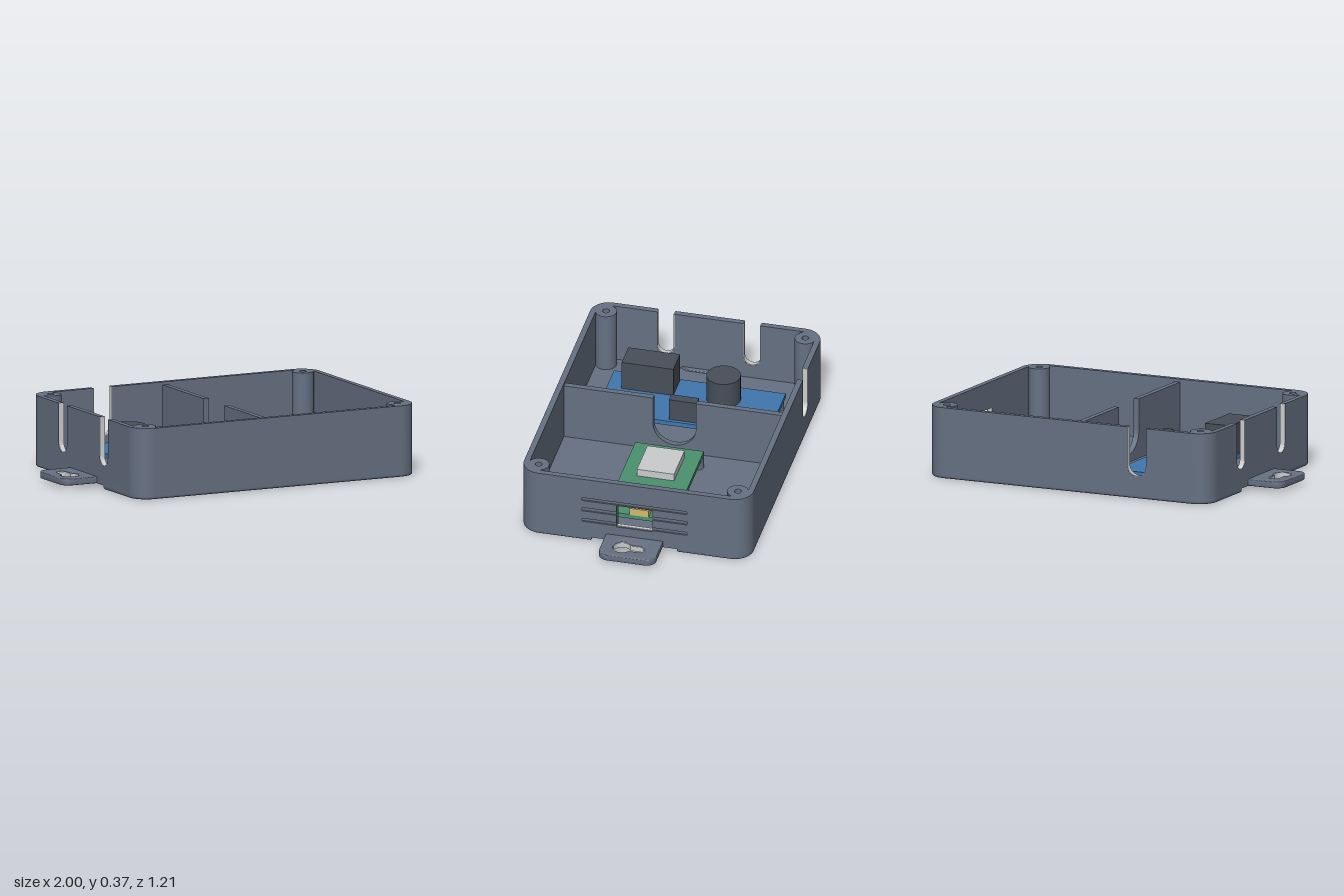
import * as THREE from 'three';
import { toCreasedNormals } from 'three/addons/utils/BufferGeometryUtils.js';

const mat = (name, color) => Object.assign(new THREE.MeshStandardMaterial({ color }), { name });

const X = 0.81, Z = 0.605, TOP = 0.37, WALL = 0.03, R = 0.1;
const FLOOR = 0.045, BASE = 0.02, LINER = 0.003;

export function createModel() {
  const body = mat('slateBody', 0x667182);
  const cut = mat('lightGrey', 0xcbcccd);
  const dark = mat('darkComponent', 0x484f59);
  const blue = mat('blueBoard', 0x4076ae);
  const green = mat('greenBoard', 0x4b9170);
  const gold = mat('goldMetal', 0xd2bb6c);
  const model = new THREE.Group();
  model.name = 'electronicsEnclosure';

  const add = (name, geo, material, x = 0, y = 0, z = 0) => {
    const m = new THREE.Mesh(geo, material);
    m.name = name;
    m.position.set(x, y, z);
    model.add(m);
    return m;
  };
  const extrude = (shape, depth, bevel = 0) => {
    const g = new THREE.ExtrudeGeometry(shape, {
      depth: depth - 2 * bevel, curveSegments: 20, bevelEnabled: bevel > 0,
      bevelSize: bevel, bevelThickness: bevel, bevelOffset: -bevel, bevelSegments: 3,
    });
    g.translate(0, 0, bevel);
    return toCreasedNormals(g, 0.6);
  };
  // plan shape (x, z) raised between two heights
  const slab = (name, shape, y0, y1, material, bevel = 0) =>
    add(name, extrude(shape, y1 - y0, bevel).rotateX(Math.PI / 2), material, 0, y1, 0);
  // panel drawn as (z, y), running from x towards -x
  const sidePanel = (name, shape, x, depth, material) =>
    add(name, extrude(shape, depth).rotateY(-Math.PI / 2), material, x, 0, 0);
  const box = (name, x0, x1, y0, y1, z0, z1, material) =>
    add(name, new THREE.BoxGeometry(x1 - x0, y1 - y0, z1 - z0), material,
      (x0 + x1) / 2, (y0 + y1) / 2, (z0 + z1) / 2);
  const cylinder = (name, x, z, r, y0, y1, material) =>
    add(name, new THREE.CylinderGeometry(r, r, y1 - y0, 32), material, x, (y0 + y1) / 2, z);

  const poly = (pts, Type = THREE.Shape) => new Type(pts.map(([a, b]) => new THREE.Vector2(a, b)));
  const rect = (a0, a1, b0, b1, Type) => poly([[a0, b0], [a1, b0], [a1, b1], [a0, b1]], Type);
  const roundRect = (a0, a1, b0, b1, r) => {
    const s = new THREE.Shape(), q = Math.PI / 2;
    s.absarc(a1 - r, b0 + r, r, -q, 0);
    s.absarc(a1 - r, b1 - r, r, 0, q);
    s.absarc(a0 + r, b1 - r, r, q, 2 * q);
    s.absarc(a0 + r, b0 + r, r, 2 * q, 3 * q);
    return s;
  };
  // wall outline with U notches open at the top, listed from high to low position
  const wallShape = (half, top, notches = []) => {
    const s = new THREE.Shape();
    s.moveTo(-half, BASE).lineTo(half, BASE).lineTo(half, top);
    for (const { c, r, b } of notches) {
      s.lineTo(c + r, top).lineTo(c + r, b + r);
      s.absarc(c, b + r, r, 0, -Math.PI, true).lineTo(c - r, top);
    }
    s.lineTo(-half, top);
    return s;
  };
  const notchLiner = ({ c, r, b }) => {
    const s = new THREE.Shape(), i = r - LINER, top = TOP - 0.001;
    s.moveTo(c + r, top).lineTo(c + r, b + r).absarc(c, b + r, r, 0, -Math.PI, true);
    s.lineTo(c - r, top).lineTo(c - i, top).lineTo(c - i, b + r);
    s.absarc(c, b + r, i, -Math.PI, 0, false).lineTo(c + i, top);
    return s;
  };

  // Floor, with two runners leaving a channel underneath
  slab('floor', roundRect(-X, X, -Z, Z, R), BASE, FLOOR, body);
  for (const s of [-1, 1]) {
    const p = new THREE.Shape();
    p.moveTo(-X, s * 0.225).lineTo(X, s * 0.225).lineTo(X, s * (Z - R));
    p.absarc(X - R, s * (Z - R), R, 0, s * Math.PI / 2, s < 0);
    p.absarc(R - X, s * (Z - R), R, s * Math.PI / 2, s * Math.PI, s < 0);
    slab('baseRunner', p, 0, 0.04, body, 0.01);
  }

  // Corners with screw posts
  for (const sx of [-1, 1]) for (const sz of [-1, 1]) {
    const s = new THREE.Shape();
    s.absarc(X - R, Z - R, R, 0, Math.PI / 2);
    s.absarc(0.727, 0.525, 0.055, Math.PI * 0.6, Math.PI * 1.88);
    const corner = poly(s.getPoints(20).map(p => [sx * p.x, sz * p.y]));
    const hole = new THREE.Path();
    hole.absarc(sx * 0.727, sz * 0.525, 0.018, 0, Math.PI * 2);
    corner.holes.push(hole);
    slab('cornerPost', corner, BASE, TOP, body);
  }

  // Front wall, back wall with one cable notch, right wall with two
  add('frontWall', extrude(wallShape(X - R, TOP), WALL), body, 0, 0, Z - WALL);
  const backNotch = { c: -0.4, r: 0.055, b: 0.115 };
  add('backWall', extrude(wallShape(X - R, TOP, [backNotch]), WALL), body, 0, 0, -Z);
  add('backNotchLiner', extrude(notchLiner(backNotch), 0.028), cut, 0, 0, -Z + 0.001);
  const sideNotches = [0.225, -0.23].map(c => ({ c, r: 0.046, b: 0.12 }));
  sidePanel('cableWall', wallShape(Z - R, TOP, sideNotches), WALL - X, WALL, body);
  for (const n of sideNotches) sidePanel('sideNotchLiner', notchLiner(n), WALL - X - 0.001, 0.028, cut);

  // Connector wall: inner layer with window, outer layer with vent grooves
  const W = 0.095, S = 0.277, W0 = 0.105, W1 = 0.235;
  const inner = wallShape(Z - R, TOP), outer = wallShape(Z - R, TOP);
  inner.holes.push(rect(-W, W, W0, W1, THREE.Path));
  const half = [[W, W0], [W, 0.112], [S, 0.112], [S, 0.13], [W, 0.13],
    [W, 0.176], [S, 0.176], [S, 0.196], [W, 0.196], [W, W1]];
  outer.holes.push(poly([...half, ...half.map(([a, b]) => [-a, b]).reverse()], THREE.Path));
  outer.holes.push(rect(-S, S, 0.239, 0.257, THREE.Path));
  sidePanel('connectorWallInner', inner, X - 0.008, WALL - 0.008, body);
  sidePanel('connectorWallOuter', outer, X, 0.008, body);
  const frame = rect(-W, W, W0, W1);
  frame.holes.push(rect(LINER - W, W - LINER, W0 + LINER, W1 - LINER, THREE.Path));
  sidePanel('windowLiner', frame, X - 0.009, 0.02, cut);

  // Divider with a wire pass-through
  sidePanel('divider', wallShape(Z - WALL, 0.355, [{ c: -0.007, r: 0.113, b: 0.085 }]), -0.025, WALL, body);

  // Mounting tabs with keyholes
  const keyhole = (Type, cx, t) => {
    const p = new Type(), big = 0.048 - t, r = 0.027 - t, a = Math.asin(r / big);
    p.absarc(cx, 0.04, big, a - Math.PI / 2, Math.PI * 1.5 - a);
    p.absarc(cx, -0.05, r, Math.PI, Math.PI * 2);
    return p;
  };
  for (const s of [-1, 1]) {
    const tab = roundRect(s > 0 ? 0.76 : -1, s > 0 ? 1 : -0.76, -0.15, 0.15, 0.05);
    tab.holes.push(keyhole(THREE.Path, s * 0.91, 0));
    slab('mountingTab', tab, BASE, 0.055, body, 0.004);
    const ring = keyhole(THREE.Shape, s * 0.91, 0);
    ring.holes.push(keyhole(THREE.Path, s * 0.91, LINER));
    slab('keyholeLiner', ring, BASE + 0.003, 0.052, cut);
  }

  // Power board
  for (const x of [-0.54, -0.25]) for (const z of [-0.423, 0.418])
    cylinder('powerStandoff', x, z, 0.035, FLOOR, 0.08, body);
  box('powerBoard', -0.59, -0.2, 0.08, 0.105, -0.455, 0.45, blue);
  cylinder('capacitor', -0.47, -0.157, 0.088, 0.105, 0.25, dark);
  box('relay', -0.58, -0.437, 0.105, 0.265, 0.1, 0.372, dark);
  box('terminalBlock', -0.27, -0.218, 0.105, 0.225, -0.077, 0.07, dark);

  // Controller board
  for (const x of [0.082, 0.695]) for (const z of [-0.153, 0.148])
    cylinder('controllerStandoff', x, z, 0.035, FLOOR, 0.105, body);
  box('controllerBoard', 0.063, 0.718, 0.105, 0.13, -0.183, 0.178, green);
  box('radioModule', 0.138, 0.363, 0.13, 0.17, -0.1, 0.096, cut);
  box('usbPort', 0.615, 0.722, 0.13, 0.17, -0.053, 0.048, gold);
  for (const z of [-0.142, -0.003]) cylinder('button', 0.547, z, 0.016, 0.13, 0.16, blue);
  box('indicator', 0.536, 0.558, 0.13, 0.155, 0.124, 0.146, gold);

  return model;
}
